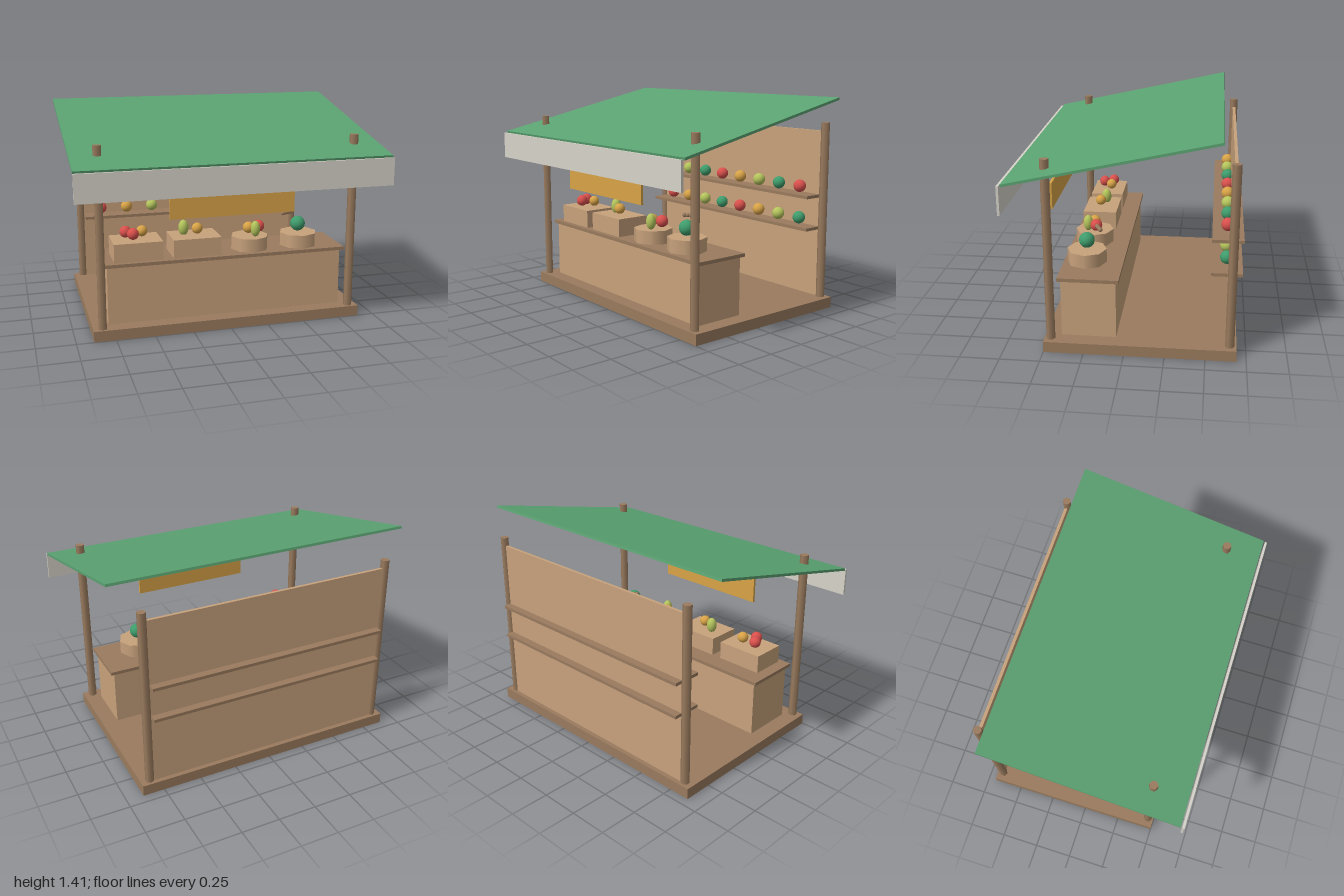
import * as THREE from 'three';

const mat = (name, color) => {
  const m = new THREE.MeshStandardMaterial({ color });
  m.name = name;
  return m;
};

export function createModel() {
  const stall = new THREE.Group();
  stall.name = 'marketStall';

  const wood = mat('dark wood', 0x9a7b5e);
  const tan = mat('light wood', 0xc8a27c);
  const canvas = mat('roof green', 0x5ba372);
  const cloth = mat('valance grey', 0xd6d3c9);
  const gold = mat('gold', 0xd8a347);
  const red = mat('red', 0xd9504c);
  const lime = mat('lime', 0xb4c45c);
  const green = mat('fruit green', 0x3f9c6c);

  const add = (name, geometry, material, x, y, z) => {
    const mesh = new THREE.Mesh(geometry, material);
    mesh.name = name;
    mesh.position.set(x, y, z);
    stall.add(mesh);
    return mesh;
  };
  // Box given by its x, y and z ranges
  const box = (name, material, [x0, x1], [y0, y1], [z0, z1]) =>
    add(name, new THREE.BoxGeometry(x1 - x0, y1 - y0, z1 - z0), material,
      (x0 + x1) / 2, (y0 + y1) / 2, (z0 + z1) / 2);
  // Round or stretched fruit
  const fruit = (name, material, x, y, z, r, ry = r) =>
    add(name, new THREE.SphereGeometry(r, 16, 12), material, x, y, z).scale.y = ry / r;

  // Floor and hexagonal posts
  box('floor', wood, [-0.89, 0.89], [0, 0.07], [-0.69, 0.5]);
  for (const x of [-0.83, 0.83])
    for (const z of [0.46, -0.648])
      add('post', new THREE.CylinderGeometry(0.028, 0.028, 1.165, 6), wood, x, 0.6525, z);

  // Back wall with shelves passing through it
  box('backWall', tan, [-0.805, 0.805], [0.07, 1.18], [-0.66, -0.64]);
  const fruitColours = [gold, lime, green, red];
  [[0.535, 3], [0.75, 0]].forEach(([y, shift]) => {
    box('shelf', wood, [-0.805, 0.805], [y - 0.01, y + 0.01], [-0.71, -0.52]);
    for (let i = 0; i < 8; i++)
      fruit('shelfFruit', fruitColours[(i + shift) % 4], -0.683 + i * 0.191, y + 0.052, -0.613, 0.042);
  });

  // Counter
  box('counter', tan, [-0.785, 0.785], [0.07, 0.446], [0.057, 0.4]);
  box('counterTop', wood, [-0.81, 0.81], [0.446, 0.468], [0.037, 0.418]);

  // Sloping roof, valance and sign board
  const roof = add('roof', new THREE.BoxGeometry(2, 0.016, 1.281), canvas, 0, 1.258, 0.055);
  roof.rotation.x = 0.22;
  box('valance', cloth, [-1, 1], [0.938, 1.115], [0.691, 0.706]);
  box('signBoard', gold, [-0.405, 0.405], [0.765, 0.94], [0.512, 0.529]);

  // Crates and baskets on the counter
  for (const x of [-0.577, -0.193])
    box('crate', tan, [x - 0.158, x + 0.158], [0.468, 0.588], [0.155, 0.385]);
  for (const x of [0.19, 0.532])
    add('basket', new THREE.CylinderGeometry(0.126, 0.126, 0.088, 8), tan, x, 0.512, 0.27);

  // Produce in the first crate
  fruit('redFruit', red, -0.638, 0.63, 0.245, 0.038);
  fruit('redFruit', red, -0.6, 0.63, 0.31, 0.038);
  fruit('goldFruit', gold, -0.532, 0.63, 0.25, 0.036);
  // Produce in the second crate
  fruit('limeFruit', lime, -0.257, 0.632, 0.25, 0.034, 0.052);
  fruit('goldFruit', gold, -0.172, 0.63, 0.28, 0.036);
  // Produce in the baskets
  fruit('goldFruit', gold, 0.182, 0.608, 0.27, 0.038);
  fruit('limeFruit', lime, 0.218, 0.606, 0.31, 0.032, 0.053);
  fruit('redFruit', red, 0.258, 0.608, 0.25, 0.04);
  fruit('melon', green, 0.53, 0.612, 0.27, 0.05);

  // Row of small nuts
  for (let i = 0; i < 4; i++)
    fruit('nut', wood, 0.444 + i * 0.02, 0.674, 0.217 - i * 0.01, 0.014);

  return stall;
}
